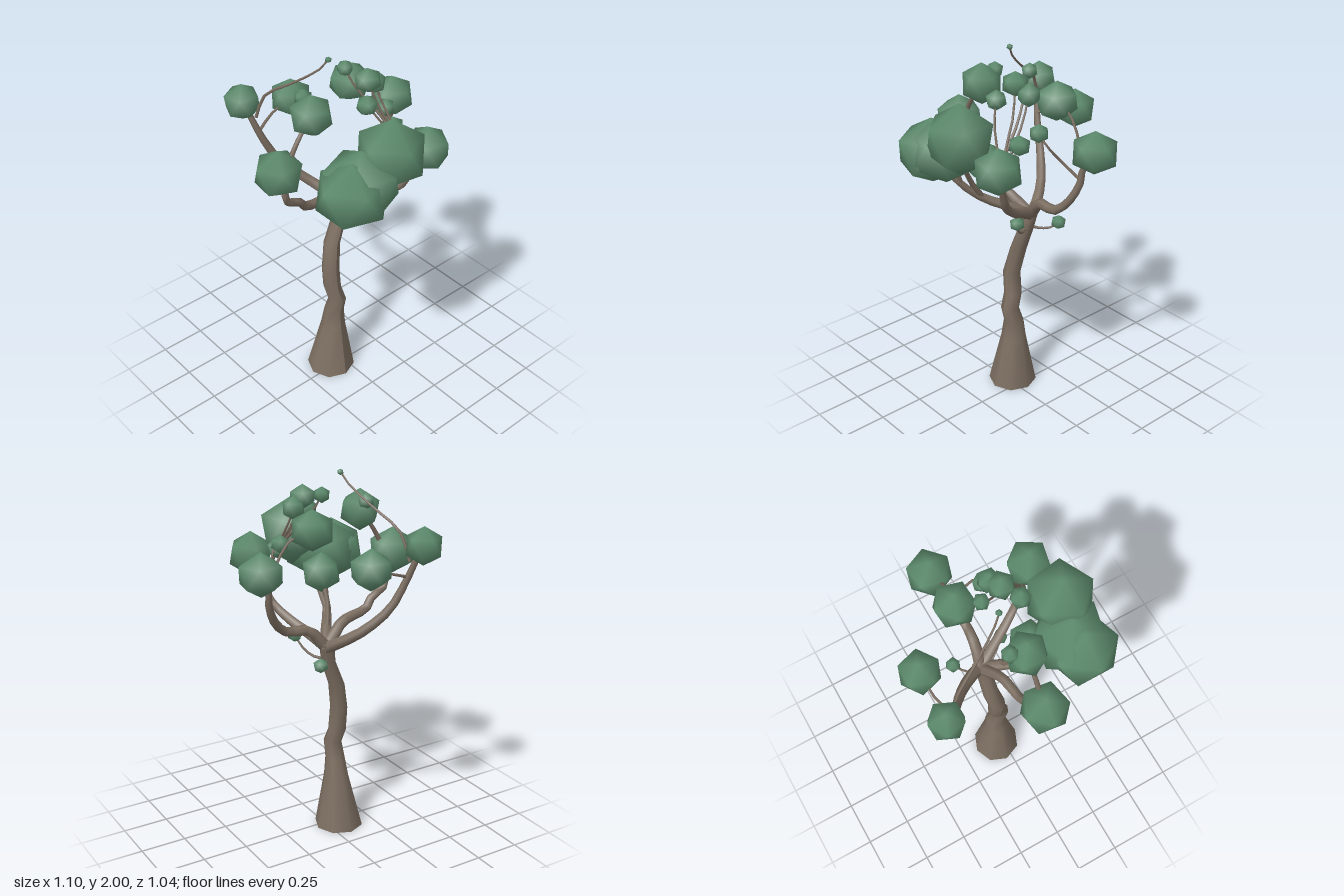
import * as THREE from 'three';
import { mergeVertices } from 'three/addons/utils/BufferGeometryUtils.js';

const bark = new THREE.MeshStandardMaterial({ color: 0x7d6f62 });
const leaf = new THREE.MeshStandardMaterial({ color: 0x5c8a6c });

// Smooth-shaded icosahedron standing on one corner
function leafGeometry() {
  let g = new THREE.IcosahedronGeometry(1, 0);
  g.deleteAttribute('normal');
  g.deleteAttribute('uv');
  g = mergeVertices(g, 1e-3);
  g.rotateZ(Math.atan(2 / (1 + Math.sqrt(5))));
  g.computeVertexNormals();
  return g;
}

// Trunk: stacked rings that follow rows of [x, y, z, radius]
function trunkGeometry(rows, sides) {
  const n = rows.length - 1;
  const g = new THREE.CylinderGeometry(1, 1, 1, sides, n);
  const p = g.attributes.position;
  for (let i = 0; i < p.count; i++) {
    const [x, y, z, r] = rows[Math.round((p.getY(i) + 0.5) * n)];
    p.setXYZ(i, x + p.getX(i) * r, y, z + p.getZ(i) * r);
  }
  g.computeVertexNormals();
  return g;
}

// Branch: tube through the points, tapering from r0 to r1
function branchGeometry(points, r0, r1, sides) {
  const curve = new THREE.CatmullRomCurve3(points.map(a => new THREE.Vector3(...a)), false, 'centripetal');
  const segs = (points.length - 1) * 2;
  const g = new THREE.TubeGeometry(curve, segs, 1, sides);
  const p = g.attributes.position;
  const v = new THREE.Vector3();
  for (let i = 0; i < p.count; i++) {
    const t = Math.floor(i / (sides + 1)) / segs;
    const c = curve.getPointAt(t);
    v.fromBufferAttribute(p, i).sub(c).multiplyScalar(r0 + (r1 - r0) * t).add(c);
    p.setXYZ(i, v.x, v.y, v.z);
  }
  return g;
}

export function createModel() {
  const tree = new THREE.Group();
  tree.name = 'tree';
  const add = (name, geometry, material) => {
    const mesh = new THREE.Mesh(geometry, material);
    mesh.name = name;
    tree.add(mesh);
    return mesh;
  };

  add('trunk', trunkGeometry([
    [-0.07, 0, -0.035, 0.134], [-0.055, 0.31, -0.03, 0.068], [-0.05, 0.41, -0.027, 0.055],
    [-0.05, 0.5, 0, 0.05], [-0.06, 0.58, -0.03, 0.049], [-0.07, 0.71, -0.03, 0.048],
    [-0.04, 0.86, -0.053, 0.045], [0.015, 1.0, -0.057, 0.041], [0.035, 1.11, -0.08, 0.038],
  ], 8), bark);

  // Main limbs spreading from the top of the trunk
  const limbs = [
    [[0.03, 1.08, -0.07], [0.13, 1.19, -0.05], [0.25, 1.2, -0.04], [0.33, 1.27, -0.06], [0.38, 1.38, -0.09], [0.385, 1.45, -0.1], [0.43, 1.54, -0.12]],
    [[0.03, 1.08, -0.08], [0.07, 1.13, 0], [0.13, 1.19, 0.12], [0.19, 1.28, 0.23], [0.22, 1.4, 0.28], [0.25, 1.52, 0.33]],
    [[0.04, 1.08, -0.07], [-0.02, 1.13, -0.05], [-0.1, 1.19, -0.02], [-0.26, 1.23, 0], [-0.3, 1.28, 0.01], [-0.39, 1.33, 0.02], [-0.4, 1.42, 0.02], [-0.43, 1.52, 0.02]],
    [[0.04, 1.08, -0.07], [0, 1.13, -0.15], [-0.07, 1.2, -0.24], [-0.18, 1.33, -0.33], [-0.25, 1.48, -0.37], [-0.3, 1.65, -0.42]],
    [[0.04, 1.08, -0.08], [-0.02, 1.14, 0.02], [-0.1, 1.2, 0.14], [-0.15, 1.3, 0.25], [-0.22, 1.45, 0.34]],
  ];
  for (const points of limbs) add('limb', branchGeometry(points, 0.034, 0.014, 6), bark);

  // Boughs forking off the limbs
  const boughs = [
    [[-0.1, 1.2, 0.14], [-0.09, 1.36, 0.25], [-0.01, 1.6, 0.35]],
    [[-0.02, 1.14, 0.02], [-0.06, 1.26, 0.07], [-0.07, 1.42, 0.15]],
    [[-0.15, 1.3, 0.25], [-0.15, 1.4, 0.28], [-0.17, 1.5, 0.32]],
    [[-0.4, 1.4, 0.02], [-0.36, 1.58, 0.03], [-0.3, 1.68, 0.03], [-0.235, 1.76, 0.03]],
  ];
  for (const points of boughs) add('bough', branchGeometry(points, 0.017, 0.01, 5), bark);

  // Thin twigs ending in the small leaf clumps
  const twigs = [
    [[-0.25, 1.5, -0.37], [-0.14, 1.54, -0.41], [-0.01, 1.58, -0.417]],
    [[-0.26, 1.58, -0.38], [-0.235, 1.72, -0.33], [-0.165, 1.83, -0.18], [-0.1, 1.93, -0.06], [-0.077, 1.985, -0.025]],
    [[0.385, 1.45, -0.1], [0.34, 1.6, -0.11], [0.26, 1.71, -0.12], [0.16, 1.74, -0.135]],
    [[0.38, 1.42, -0.07], [0.31, 1.5, -0.02], [0.285, 1.59, 0.05], [0.232, 1.64, 0.053]],
    [[0.21, 1.38, 0.27], [0.17, 1.55, 0.22], [0.12, 1.72, 0.12], [0.085, 1.86, 0.08]],
    [[0.21, 1.38, 0.27], [0.19, 1.55, 0.2], [0.17, 1.7, 0.1], [0.15, 1.81, 0.05]],
    [[0.21, 1.38, 0.27], [0.2, 1.48, 0.21], [0.194, 1.59, 0.15]],
    [[0.21, 1.38, 0.27], [0.16, 1.53, 0.25], [0.07, 1.68, 0.2], [0.02, 1.775, 0.145]],
    [[0.17, 1.55, 0.22], [0.13, 1.68, 0.1], [0.07, 1.8, 0], [0.047, 1.885, -0.045]],
    [[-0.235, 1.76, 0.03], [-0.22, 1.82, -0.05]],
    [[0.02, 1.01, -0.06], [0.07, 1.02, 0.02], [0.1, 1.06, 0.07], [0.125, 1.12, 0.1]],
    [[0.02, 1.02, -0.06], [0.07, 1.0, -0.12], [0.11, 1.01, -0.16], [0.135, 1.04, -0.18]],
  ];
  for (const points of twigs) add('twig', branchGeometry(points, 0.009, 0.005, 5), bark);

  // Leaf clumps: [x, y, z, horizontal radius, vertical radius]
  const clumps = [
    [-0.25, 1.48, 0.345, 0.168, 0.175], [-0.17, 1.5, 0.32, 0.18, 0.18], [-0.01, 1.615, 0.352, 0.16, 0.188],
    [-0.306, 1.665, -0.432, 0.088, 0.1], [-0.006, 1.585, -0.417, 0.099, 0.108],
    [0.155, 1.74, -0.135, 0.102, 0.106], [0.44, 1.555, -0.126, 0.108, 0.115],
    [-0.435, 1.52, 0.022, 0.114, 0.128], [-0.232, 1.765, 0.03, 0.098, 0.112],
    [-0.07, 1.42, 0.15, 0.096, 0.11], [0.253, 1.525, 0.332, 0.11, 0.124],
    [-0.218, 1.825, -0.048, 0.041, 0.045], [0.047, 1.888, -0.048, 0.038, 0.042],
    [0.194, 1.59, 0.147, 0.052, 0.054], [0.02, 1.775, 0.145, 0.05, 0.054],
    [0.085, 1.86, 0.077, 0.063, 0.065], [0.153, 1.815, 0.05, 0.054, 0.062],
    [0.232, 1.64, 0.053, 0.044, 0.05], [-0.076, 1.985, -0.026, 0.015, 0.016],
    [0.125, 1.12, 0.1, 0.036, 0.04], [0.135, 1.04, -0.182, 0.037, 0.04],
  ];
  const leafShape = leafGeometry();
  clumps.forEach(([x, y, z, w, h], i) => {
    const mesh = add('leafClump', leafShape, leaf);
    mesh.position.set(x, y, z);
    mesh.rotation.y = i * 0.7;
    mesh.scale.set(w / 0.87, h, w / 0.87);
  });
  return tree;
}
